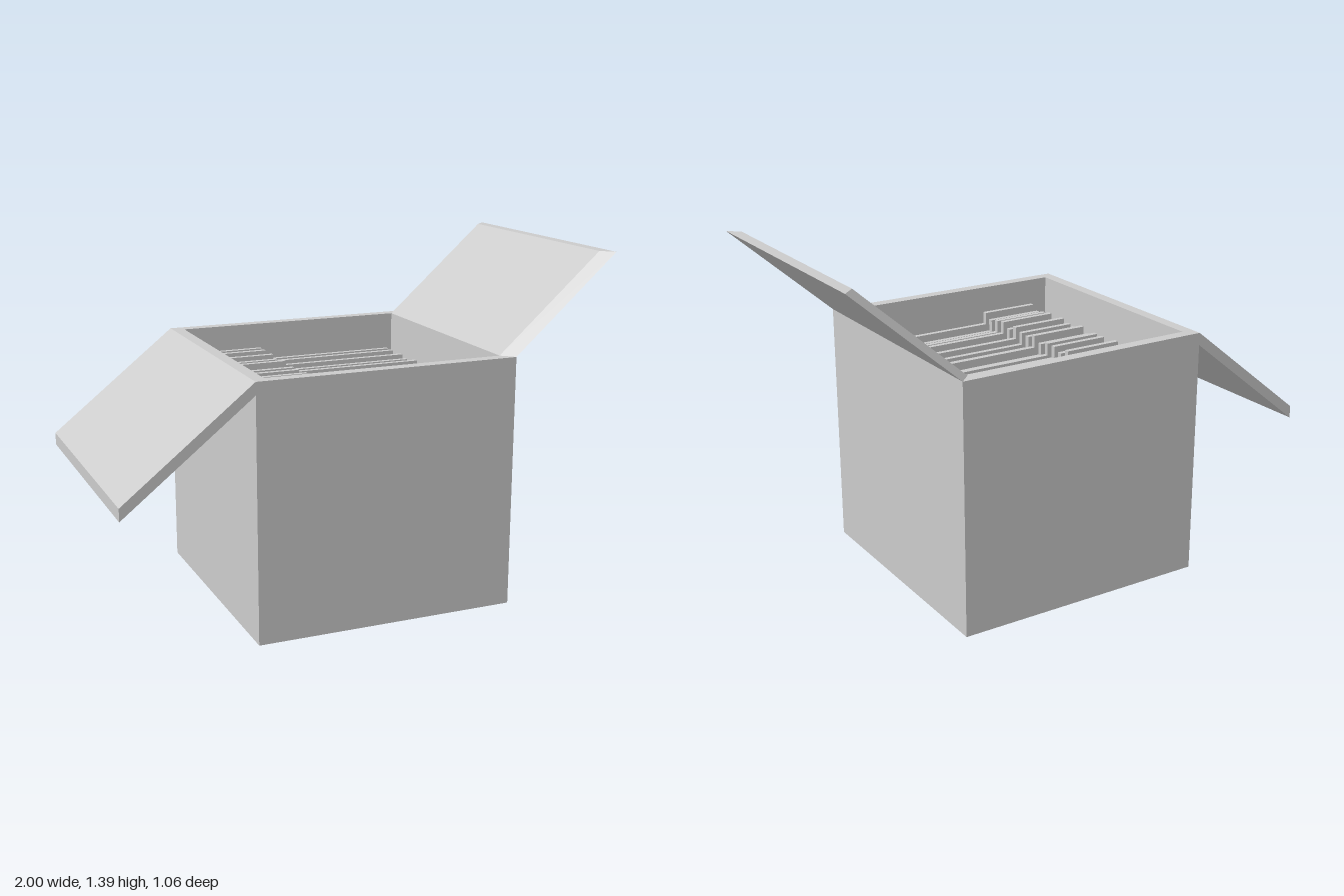
import * as THREE from 'three';
import { ConvexGeometry } from 'three/addons/geometries/ConvexGeometry.js';

const L = -0.49, R = 0.57, D = 0.53, H = 1.01, WALL = 0.047;

// Closed outline from [x, y] pairs
const outline = (pts, Type = THREE.Shape) => new Type(pts.map(([x, y]) => new THREE.Vector2(x, y)));
const rect = (x0, x1, y0, y1) => [[x0, y0], [x1, y0], [x1, y1], [x0, y1]];

// Shape in the xy plane extruded along z, centred on zero
function slab(pts, depth) {
  return new THREE.ExtrudeGeometry(outline(pts), { depth, bevelEnabled: false }).translate(0, 0, -depth / 2);
}

export function createModel() {
  const model = new THREE.Group();
  model.name = 'openFileBox';
  const material = new THREE.MeshStandardMaterial({ color: 0xcccccc, flatShading: true });
  const add = (parent, name, geometry) => {
    const mesh = new THREE.Mesh(geometry, material);
    mesh.name = name;
    parent.add(mesh);
    return mesh;
  };

  // Four walls: a square frame raised to the rim
  const frame = outline(rect(L, R, -D, D));
  frame.holes.push(outline(rect(L + WALL, R - WALL, -D + WALL, D - WALL), THREE.Path));
  add(model, 'walls', new THREE.ExtrudeGeometry(frame, { depth: H, bevelEnabled: false }).rotateX(-Math.PI / 2));

  // Floor inside the walls
  const floor = new THREE.BoxGeometry(R - L - 2 * WALL, WALL, 2 * (D - WALL));
  add(model, 'floor', floor.translate((L + R) / 2, WALL / 2, 0));

  // Right flap folded down and outward
  add(model, 'rightFlap', slab([[L, H - 0.05], [L, H], [-1, 0.605], [-1, 0.555]], 2 * D));

  // Left flap raised, with mitred edges that narrow towards its inner face
  const corners = [];
  for (const side of [-1, 1]) {
    for (const [x, y] of [[R, H], [1, 1.39]]) {
      corners.push(new THREE.Vector3(x, y, side * D));
      corners.push(new THREE.Vector3(x - WALL, y, side * (D - WALL)));
    }
  }
  add(model, 'leftFlap', new ConvexGeometry(corners));

  // Row of file folders, each with a raised tab and a slightly different height
  const folders = new THREE.Group();
  folders.name = 'folders';
  model.add(folders);
  const count = 20;
  for (let i = 0; i < count; i++) {
    const top = 0.855 + (i === 0 ? 0 : 0.012 * Math.sin(i * 2.4) - 0.008);
    const tab = top + 0.05;
    const profile = [
      [-0.41, WALL], [0.5, WALL], [0.5, top], [-0.105, top],
      [-0.105, tab], [-0.35, tab], [-0.35, top], [-0.41, top],
    ];
    const folder = add(folders, 'folder' + (i + 1), slab(profile, 0.021));
    folder.position.z = THREE.MathUtils.lerp(-0.473, 0.447, i / (count - 1));
  }

  return model;
}
